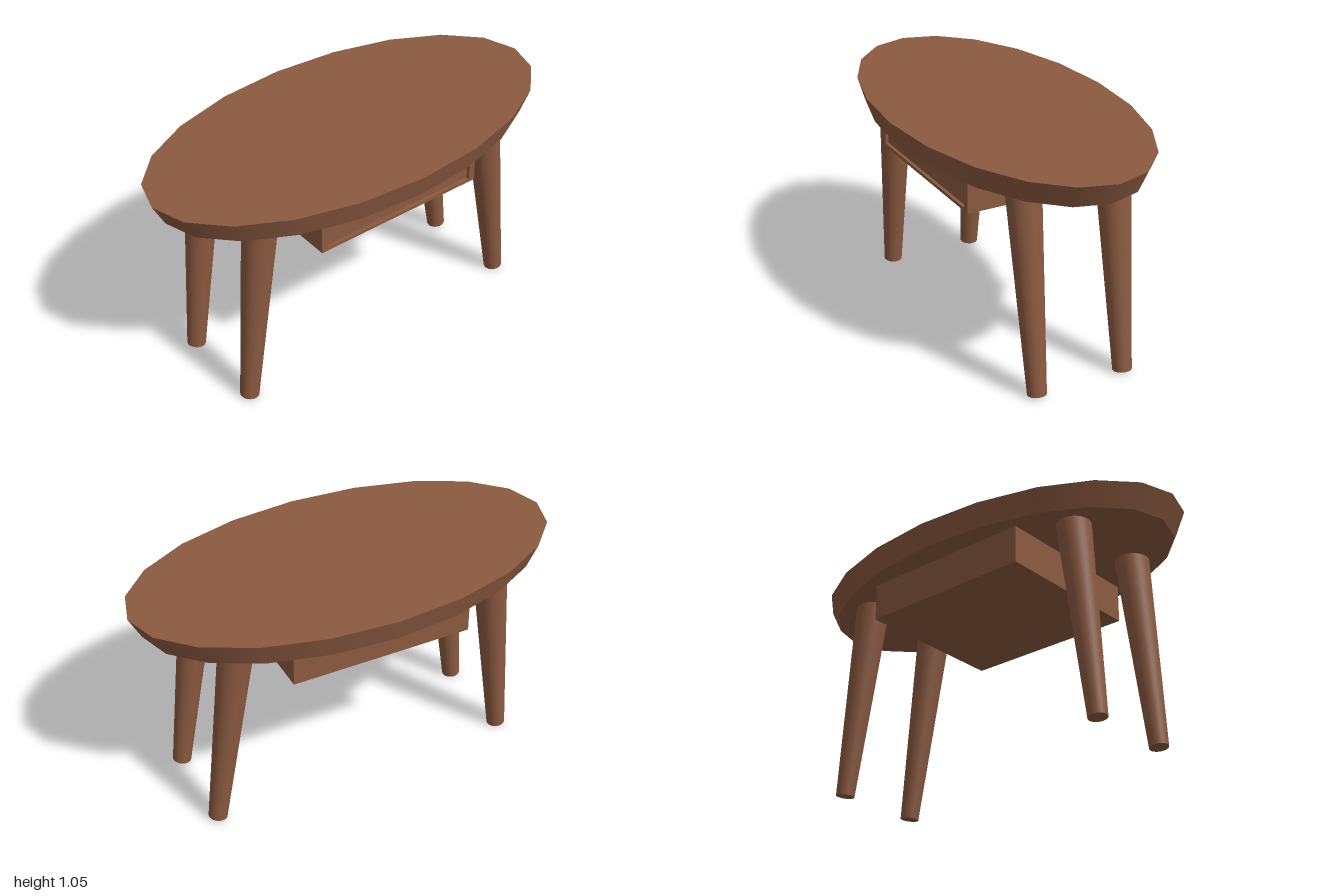
import * as THREE from 'three';

const wood = new THREE.MeshStandardMaterial({ color: 0x8b5a40 });
wood.name = 'brown wood';

function add(group, name, geometry, x = 0, y = 0, z = 0) {
  const mesh = new THREE.Mesh(geometry, wood);
  mesh.name = name;
  mesh.position.set(x, y, z);
  group.add(mesh);
  return mesh;
}

// Tapered round leg between two points, cut square to its own axis
function addLeg(group, name, foot, top) {
  const axis = top.clone().sub(foot);
  const leg = add(group, name, new THREE.CylinderGeometry(0.079, 0.043, axis.length(), 32));
  leg.position.copy(foot).addScaledVector(axis, 0.5);
  leg.quaternion.setFromUnitVectors(new THREE.Vector3(0, 1, 0), axis.normalize());
}

function rectangle(PathType, x0, y0, x1, y1) {
  return new PathType([[x0, y0], [x1, y0], [x1, y1], [x0, y1]].map(([x, y]) => new THREE.Vector2(x, y)));
}

export function createModel() {
  const table = new THREE.Group();
  table.name = 'ovalTable';

  // Oval twenty-sided top with an undercut rim
  const topGeometry = new THREE.CylinderGeometry(1, 0.944, 0.108, 20);
  topGeometry.scale(1, 1, 0.523);
  add(table, 'tableTop', topGeometry, 0, 0.996, 0);

  // Splayed legs; the two ends lean by slightly different amounts
  for (const [end, z] of [['front', 0.215], ['back', -0.215]]) {
    addLeg(table, end + 'RightLeg', new THREE.Vector3(-0.72, 0.006, z), new THREE.Vector3(-0.621, 0.955, z));
    addLeg(table, end + 'LeftLeg', new THREE.Vector3(0.745, 0.013, z), new THREE.Vector3(0.607, 0.96, z));
  }

  // Drawer case with a framed, slightly recessed front
  const drawer = new THREE.Group();
  drawer.name = 'drawer';
  table.add(drawer);
  add(drawer, 'drawerCase', new THREE.BoxGeometry(0.85, 0.18, 0.735), 0, 0.855, -0.0075);
  const frame = rectangle(THREE.Shape, -0.425, 0.765, 0.425, 0.945);
  frame.holes.push(rectangle(THREE.Path, -0.398, 0.78, 0.394, 0.93));
  add(drawer, 'drawerFrame', new THREE.ExtrudeGeometry(frame, { depth: 0.015, bevelEnabled: false }), 0, 0, 0.36);
  add(drawer, 'drawerHandle', new THREE.BoxGeometry(0.126, 0.028, 0.012), -0.002, 0.855, 0.366);

  return table;
}
